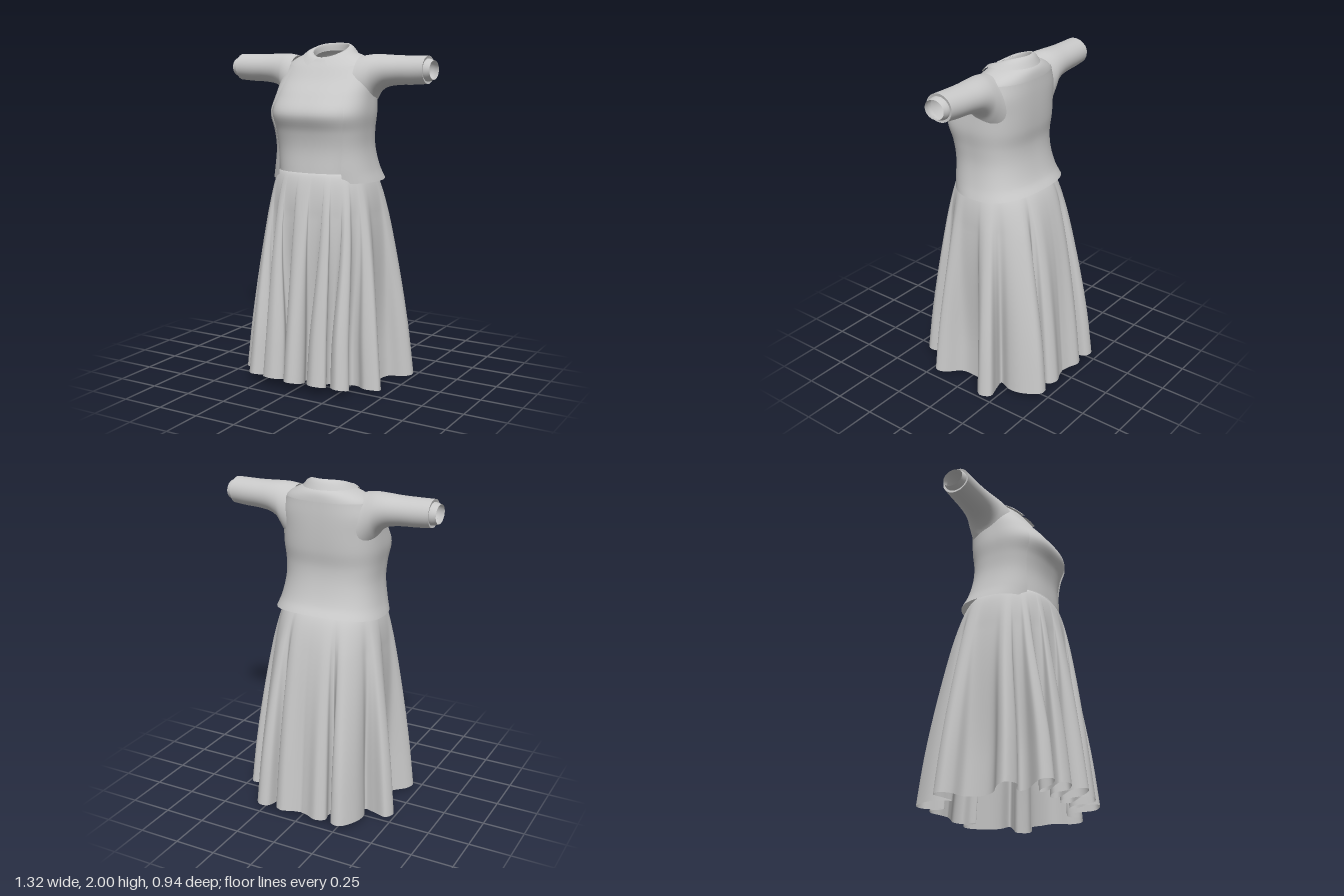
import * as THREE from 'three';

const TAU = Math.PI * 2;
const { lerp, smoothstep } = THREE.MathUtils;
const spow = (v, p) => Math.sign(v) * Math.pow(Math.abs(v), p);

// Skin a list of point rings into one smooth surface, leaving out faces that start in a hole
function surface(rings, closed, inHole = () => false) {
  const n = rings[0].length, pos = [], idx = [];
  rings.forEach(r => r.forEach(p => pos.push(p.x, p.y, p.z)));
  for (let j = 0; j < rings.length - 1; j++) {
    for (let i = 0; i < (closed ? n : n - 1); i++) {
      if (inHole(rings[j][i])) continue;
      const a = j * n + i, b = j * n + (i + 1) % n;
      idx.push(a, b, b + n, a, b + n, a + n);
    }
  }
  const g = new THREE.BufferGeometry();
  g.setAttribute('position', new THREE.Float32BufferAttribute(pos, 3));
  g.setIndex(idx);
  g.computeVertexNormals();
  return g;
}

// Add in-between rings along a spline through each column
function smooth(rings, steps) {
  const rows = (rings.length - 1) * steps;
  const out = Array.from({ length: rows + 1 }, () => []);
  rings[0].forEach((_, i) => {
    const c = new THREE.CatmullRomCurve3(rings.map(r => r[i]));
    for (let k = 0; k <= rows; k++) out[k].push(c.getPoint(k / rows));
  });
  return out;
}

// Point on a body section: [yFront, ySide, yBack, halfWidth, zFront, zBack, squareness]
function bodyPoint([yF, yS, yB, w, zf, zb, n], a) {
  const s = Math.sin(a), c = Math.cos(a);
  return new THREE.Vector3(
    w * spow(s, 2 / n),
    yS + ((c > 0 ? yF : yB) - yS) * c * c,
    (zf + zb) / 2 + (zf - zb) / 2 * spow(c, 2 / n));
}
const ring = (n, f) => Array.from({ length: n }, (_, i) => f(i / n * TAU));
const armhole = p => Math.abs(p.x) > 0.2 && ((p.y - 1.82) / 0.08) ** 2 + ((p.z + 0.035) / 0.075) ** 2 < 1;

const BODICE = [
  [1.265, 1.265, 1.265, 0.262, 0.258, -0.19, 2.5],
  [1.4, 1.4, 1.4, 0.272, 0.25, -0.187, 2.6],
  [1.5, 1.5, 1.5, 0.28, 0.265, -0.185, 2.7],
  [1.6, 1.6, 1.6, 0.288, 0.298, -0.195, 2.7],
  [1.7, 1.7, 1.7, 0.288, 0.238, -0.202, 2.6],
  [1.79, 1.8, 1.8, 0.286, 0.162, -0.202, 2.5],
  [1.86, 1.88, 1.88, 0.265, 0.113, -0.202, 2.3],
  [1.89, 1.925, 1.93, 0.2, 0.09, -0.19, 2.1],
  [1.91, 1.95, 1.957, 0.13, 0.075, -0.16, 2],
  [1.915, 1.957, 1.967, 0.105, 0.067, -0.145, 2],
];
// Jacket sections, with the x of the front edge last
const JACKET = [
  [1.21, 1.21, 1.237, 0.333, 0.25, -0.28, 2.4, 0.215],
  [1.28, 1.28, 1.29, 0.31, 0.254, -0.243, 2.5, 0.207],
  [1.4, 1.4, 1.4, 0.288, 0.257, -0.207, 2.6, 0.212],
  [1.5, 1.5, 1.5, 0.29, 0.272, -0.195, 2.7, 0.222],
  [1.6, 1.6, 1.6, 0.302, 0.304, -0.206, 2.7, 0.236],
  [1.7, 1.7, 1.7, 0.298, 0.246, -0.21, 2.6, 0.217],
  [1.79, 1.8, 1.8, 0.292, 0.168, -0.209, 2.5, 0.2],
  [1.86, 1.88, 1.88, 0.267, 0.115, -0.204, 2.3, 0.182],
];
// Sleeve sections: [x, yTop, yBottom, zFront, zBack]
const SLEEVE = [
  [0.215, 1.926, 1.56, 0.115, -0.165],
  [0.25, 1.932, 1.61, 0.102, -0.16],
  [0.28, 1.936, 1.66, 0.088, -0.156],
  [0.31, 1.937, 1.712, 0.073, -0.151],
  [0.36, 1.936, 1.748, 0.06, -0.146],
  [0.44, 1.932, 1.764, 0.052, -0.138],
  [0.54, 1.931, 1.768, 0.05, -0.13],
  [0.625, 1.931, 1.774, 0.05, -0.123],
];
const CUFF = [
  [0.605, 1.916, 1.788, 0.037, -0.109],
  [0.63, 1.914, 1.788, 0.036, -0.108],
  [0.66, 1.906, 1.798, 0.03, -0.1],
];
// Half of the hem, front to back: [x, z, matching waist angle in degrees]
const HEM = [
  [0, 0.465, 0], [0.045, 0.44, 3], [0.06, 0.385, 5], [0.024, 0.3, 7],
  [0.065, 0.268, 14],
  [0.108, 0.31, 20], [0.08, 0.385, 22], [0.14, 0.432, 25], [0.212, 0.4, 28], [0.165, 0.31, 30],
  [0.18, 0.262, 36],
  [0.212, 0.29, 42], [0.222, 0.36, 45], [0.285, 0.402, 48], [0.338, 0.35, 52], [0.275, 0.25, 55],
  [0.275, 0.2, 60],
  [0.32, 0.2, 64], [0.38, 0.237, 67], [0.455, 0.21, 72], [0.44, 0.15, 76], [0.36, 0.08, 82],
  [0.345, 0, 90],
  [0.37, -0.09, 97], [0.45, -0.12, 102], [0.49, -0.17, 108], [0.46, -0.23, 113], [0.38, -0.21, 118],
  [0.315, -0.2, 123],
  [0.345, -0.28, 130], [0.335, -0.37, 138], [0.28, -0.463, 147], [0.215, -0.458, 152], [0.192, -0.38, 156],
  [0.172, -0.345, 158],
  [0.158, -0.38, 160], [0.168, -0.44, 163], [0.115, -0.47, 168], [0.05, -0.445, 175], [0, -0.432, 180],
];
// Waist, and the even outline that the folds grow out of
const WAIST = [1.266, 1.266, 1.266, 0.26, 0.247, -0.188, 2.5];
const FULL = [0, 0, 0, 0.47, 0.445, -0.465, 2.2];

export function createModel() {
  const model = new THREE.Group();
  const cloth = new THREE.MeshStandardMaterial({ color: 0xc8c8c8, side: THREE.DoubleSide });
  cloth.name = 'greyCloth';
  const add = (name, geo) => {
    const m = new THREE.Mesh(geo, cloth);
    m.name = name;
    model.add(m);
  };

  // Bodice
  add('bodice', surface(smooth(BODICE.map(k => ring(120, a => bodyPoint(k, a))), 6), true, armhole));

  // Open jacket with a flared lower edge
  add('jacket', surface(smooth(JACKET.map(k => {
    const a0 = Math.asin(Math.pow(k[7] / k[3], k[6] / 2));
    return Array.from({ length: 101 }, (_, i) => bodyPoint(k, a0 + (TAU - 2 * a0) * i / 100));
  }), 6), false, armhole));

  // Sleeves and cuffs
  for (const [side, s] of [['left', 1], ['right', -1]]) {
    const tube = keys => surface(smooth(keys.map(([x, yt, yb, zf, zb]) => ring(48, a =>
      new THREE.Vector3(s * x, (yt + yb) / 2 + (yt - yb) / 2 * Math.cos(a),
        (zf + zb) / 2 + s * (zf - zb) / 2 * Math.sin(-a)))), 5), true);
    add(side + 'Sleeve', tube(SLEEVE));
    add(side + 'SleeveEdge', tube([SLEEVE[7], [0.622, 1.915, 1.788, 0.037, -0.109]]));
    add(side + 'Cuff', tube(CUFF));
  }

  // Folded collar, open at the front with two points
  const collarRow = f => Array.from({ length: 81 }, (_, i) => {
    const a = 0.04 + (TAU - 0.08) * i / 80;
    const side = a <= Math.PI ? 1 : -1;
    return f(side > 0 ? a : TAU - a, side);
  });
  const fold = (drop, r) => (a, s) => new THREE.Vector3(s * r * Math.sin(a),
    2 - drop - 0.082 * Math.pow((1 + Math.cos(a)) / 2, 1.5), -0.037 + r * Math.cos(a));
  const outer = (a, s) => {
    const b = 0.38 + a * (Math.PI - 0.38) / Math.PI, c = Math.cos(b);
    return new THREE.Vector3(s * 0.16 * Math.sin(b),
      1.945 - 0.09 * Math.max(0, c) ** 2, c > 0 ? -0.04 + 0.178 * c : -0.04 + 0.148 * c);
  };
  const mid = (a, s) => fold(0, 0.112)(a, s).lerp(outer(a, s), 0.45).add(new THREE.Vector3(0, 0.01, 0));
  add('collar', surface(smooth(
    [fold(0.045, 0.104), fold(0.004, 0.105), fold(0, 0.111), mid, outer].map(collarRow), 3), false));

  // Skirt: even at the waist, with folds that deepen towards the looped hem
  const half = HEM.map(([x, z, d]) => new THREE.Vector3(x, d * Math.PI / 180, z));
  const mirrored = half.slice(1).reverse().map(p => new THREE.Vector3(-p.x, -p.y, p.z));
  const hem = new THREE.CatmullRomCurve3([...mirrored, ...half], false, 'catmullrom', 0.5);
  const N = 468, ROWS = 44;
  const columns = Array.from({ length: N }, (_, i) => {
    const p = hem.getPoint(i / N);
    const hemY = 0.005 + (p.z > 0 ? 0.065 * Math.pow(p.z / 0.465, 1.5) : -0.06 * p.z);
    return {
      top: bodyPoint(WAIST, p.y), full: bodyPoint(FULL, p.y),
      bottom: new THREE.Vector3(p.x, hemY, p.z), power: 0.52 + 0.09 * Math.cos(p.y),
    };
  });
  const rows = Array.from({ length: ROWS + 1 }, (_, j) => {
    const s = Math.pow(j / ROWS, 1.6);
    const depth = 0.25 * Math.min(1, s * 5) + 0.75 * smoothstep(s, 0, 0.85);
    return columns.map(({ top, full, bottom, power }) => {
      const f = Math.pow(s, power);
      return new THREE.Vector3(
        lerp(top.x, lerp(full.x, bottom.x, depth), f),
        lerp(top.y, bottom.y, s),
        lerp(top.z, lerp(full.z, bottom.z, depth), f));
    });
  });
  add('skirt', surface(rows.reverse(), true));

  return model;
}
